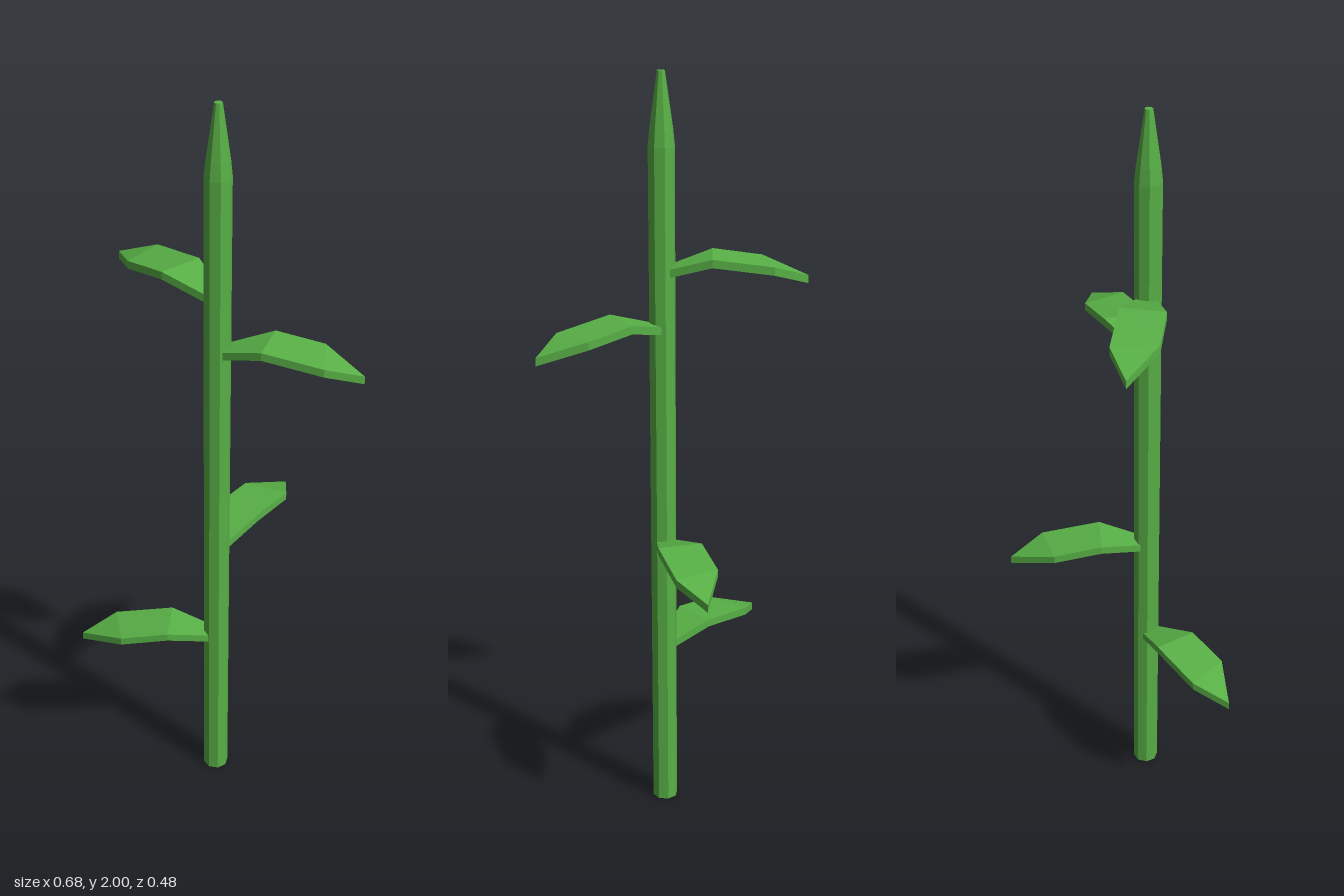
import * as THREE from 'three';

const green = new THREE.MeshStandardMaterial({ color: 0x58b046, flatShading: true });
green.name = 'leaf green';

const AXIS = [0.017, 0.072]; // stem position in x, z

// Leaf: a folded slab; local x runs outwards, outline is counter-clockwise from above
function leafGeometry() {
  const outline = [
    [0.015, 0.483, 0.024], [0.122, 0.515, 0.052], [0.276, 0.494, 0.052],
    [0.365, 0.46, 0],
    [0.254, 0.497, -0.064], [0.129, 0.515, -0.063], [0.015, 0.483, -0.024],
  ];
  const n = outline.length, thickness = 0.021;
  const points = [...outline, ...outline.map(([x, y, z]) => [x, y - thickness, z])];
  const top = [[0, 1, 5], [0, 5, 6], [1, 2, 4], [1, 4, 5], [2, 3, 4]];
  const index = [];
  for (const [a, b, c] of top) index.push(a, b, c, a + n, c + n, b + n);
  for (let i = 0; i < n; i++) {
    const j = (i + 1) % n;
    index.push(i, i + n, j + n, i, j + n, j);
  }
  const g = new THREE.BufferGeometry();
  g.setAttribute('position', new THREE.Float32BufferAttribute(points.flat(), 3));
  g.setIndex(index);
  const flat = g.toNonIndexed();
  flat.computeVertexNormals();
  return flat;
}

export function createModel() {
  const group = new THREE.Group();
  group.name = 'plantStalk';

  // Eight-sided stem with a tapered tip
  const profile = [[0, 0], [0.034, 0], [0.034, 1.82], [0.03, 1.86], [0.01, 2], [0, 2]]
    .map(([r, y]) => new THREE.Vector2(r, y));
  const stem = new THREE.Mesh(new THREE.LatheGeometry(profile, 8), green);
  stem.name = 'stem';
  stem.position.set(AXIS[0], 0, AXIS[1]);
  group.add(stem);

  // Four leaves: height offset and outward direction (x, z)
  const leaf = leafGeometry();
  const leaves = [
    ['lowerRightLeaf', 0, -0.358, -0.082],
    ['lowerLeftLeaf', 0.3, 0.245, -0.27],
    ['upperLeftLeaf', 0.89, 0.323, 0.158],
    ['upperRightLeaf', 1.035, -0.197, -0.312],
  ];
  for (const [name, y, dx, dz] of leaves) {
    const mesh = new THREE.Mesh(leaf, green);
    mesh.name = name;
    mesh.position.set(AXIS[0], y, AXIS[1]);
    mesh.rotation.y = Math.atan2(-dz, dx);
    group.add(mesh);
  }
  return group;
}
